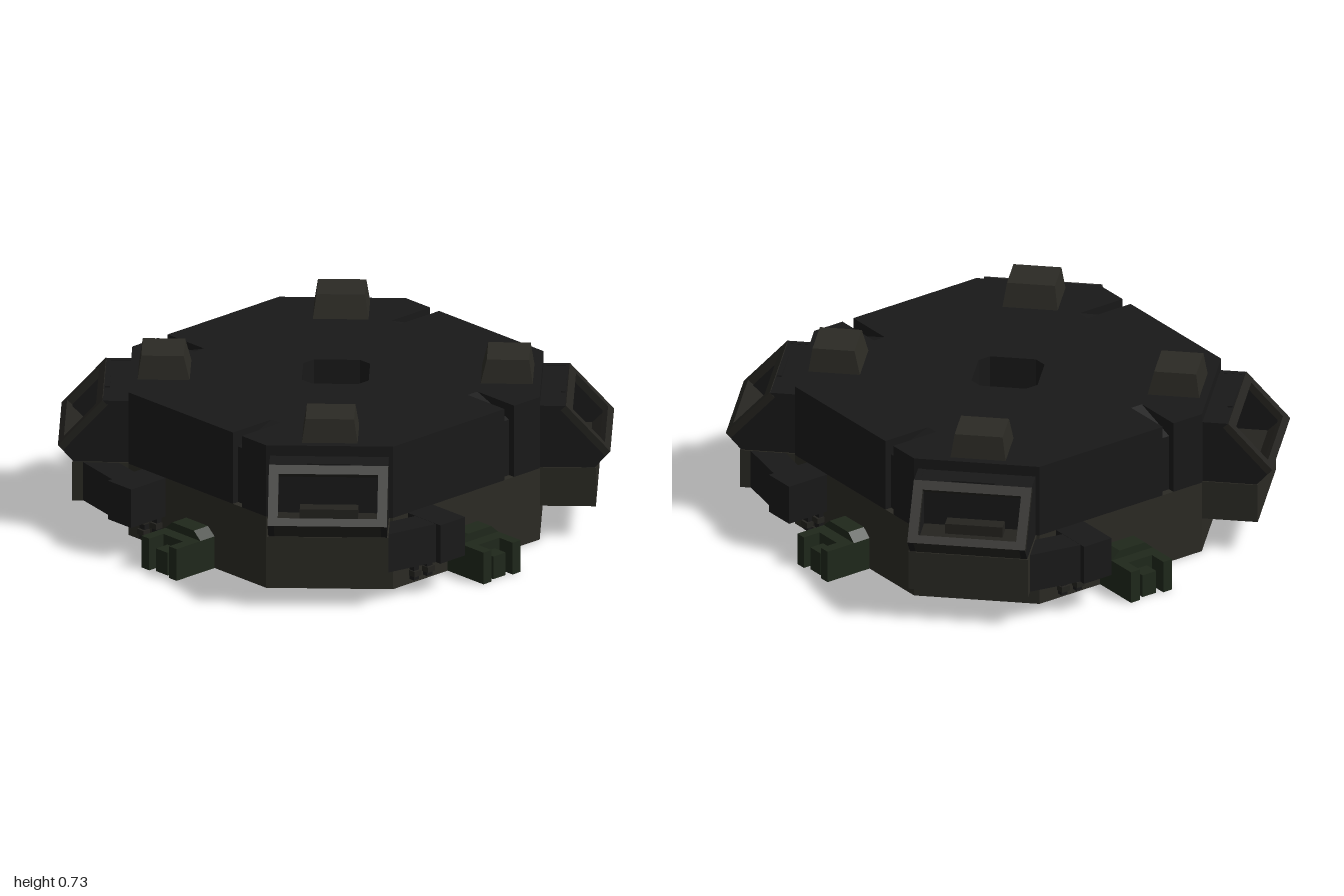
import * as THREE from 'three';

const paint = (c) => new THREE.MeshStandardMaterial({ color: c });
const hull = paint(0x191919), wall = paint(0x2b2a24), trim = paint(0x24231f), green = paint(0x1f281b);

const shapeOf = (pts, holes = []) => {
  const s = new THREE.Shape(pts.map((p) => new THREE.Vector2(p[0], p[1])));
  holes.forEach((h) => s.holes.push(new THREE.Path(h.map((p) => new THREE.Vector2(p[0], p[1])))));
  return s;
};
const extrude = (pts, depth, holes) =>
  new THREE.ExtrudeGeometry(shapeOf(pts, holes), { depth, bevelEnabled: false });

function add(parent, name, geo, mat) {
  const m = new THREE.Mesh(geo, mat);
  m.name = name;
  parent.add(m);
  return m;
}
// plan outline [x, z] raised from y0 to y1
function prism(pts, y0, y1, holes = []) {
  const flip = (l) => l.map(([x, z]) => [x, -z]);
  return extrude(flip(pts), y1 - y0, holes.map(flip)).rotateX(-Math.PI / 2).translate(0, y0, 0);
}
// side profile [z, y] spanning x0 to x1
const profile = (pts, x0, x1) => extrude(pts, x1 - x0).rotateY(-Math.PI / 2).translate(x1, 0, 0);
const box = (x0, x1, y0, y1, z0, z1) =>
  new THREE.BoxGeometry(x1 - x0, y1 - y0, z1 - z0).translate((x0 + x1) / 2, (y0 + y1) / 2, (z0 + z1) / 2);

// repeat a run of plan points around four sides
function fourfold(pts) {
  const out = [];
  let run = pts;
  for (let i = 0; i < 4; i++) {
    out.push(...run);
    run = run.map(([x, z]) => [z, -x]);
  }
  return out;
}
const W = 0.785, C = 0.415;
const outline = (notch) => fourfold(notch
  ? [[-C, W], [0.215, W], [0.215, W - notch], [0.27, W - notch], [0.27, W], [C, W]]
  : [[-C, W], [C, W]]);

// central shaft and underside openings
const shaft = fourfold([[-0.03, 0.165], [0.03, 0.165]]);
const plus = fourfold([[-0.03, 0.03], [-0.03, 0.165], [0.03, 0.165]]);
function port(r, a) {
  const pts = [];
  for (let i = 0; i < 8; i++) {
    const t = (i + 0.5) * Math.PI / 4;
    pts.push([Math.sin(a) * r + 0.1 * Math.cos(t), Math.cos(a) * r + 0.1 * Math.sin(t)]);
  }
  return pts;
}

function buildBody(g) {
  const ports = [];
  for (let i = 0; i < 8; i++) ports.push(port(i % 2 ? 0.58 : 0.52, i * Math.PI / 4));
  add(g, 'bottomPlate', prism(outline(), 0, 0.08, [shaft, ...ports]), wall);
  add(g, 'lowerHull', prism(outline(), 0.08, 0.315, [plus]), wall);
  add(g, 'upperHull', prism(outline(0.03), 0.315, 0.56, [shaft]), hull);
  add(g, 'roof', prism(outline(0.22), 0.56, 0.63, [shaft]), hull);
}

// docking clamp in the middle of a side
function buildClamp(g) {
  const arch = [[-0.105, 0], [0.105, 0], [0.105, 0.14], [0.065, 0.175], [-0.065, 0.175], [-0.105, 0.14]];
  add(g, 'clampBase', extrude(arch, 0.085).translate(0, 0, 0.78), green);
  add(g, 'clampBlock', box(-0.105, 0.105, 0, 0.14, 0.865, 0.92), green);
  for (const s of [-1, 1])
    add(g, 'clampProng', box(-0.0225, 0.0225, 0, 0.14, 0.92, 1).translate(s * 0.0825, 0, 0), green);
  add(g, 'clampTongue', box(-0.035, 0.035, 0, 0.1, 0.92, 0.985), green);
}

function buildSide() {
  const g = new THREE.Group();
  g.name = 'side';
  buildClamp(g);
  // connector box with its arm to the corner pod
  add(g, 'connectorBox', box(-0.33, -0.19, 0.145, 0.315, 0.78, 0.98), hull);
  add(g, 'connectorArm', prism([[-0.33, 0.83], [-0.33, 0.955], [-0.62, 0.895], [-0.55, 0.785]], 0.146, 0.314), hull);
  for (const x of [-0.305, -0.23]) {
    add(g, 'supportPost', box(x - 0.015, x + 0.015, 0.02, 0.145, 0.78, 0.81), hull);
    for (const y of [0.05, 0.1])
      add(g, 'postCollar', box(x - 0.02, x + 0.02, y - 0.012, y + 0.012, 0.78, 0.82), trim);
  }
  // sloped floor of the roof groove
  add(g, 'grooveRamp', profile([[0.565, 0.56], [0.755, 0.56], [0.565, 0.63]], 0.215, 0.27), hull);
  // bar inside the central shaft
  add(g, 'shaftBar', box(-0.03, 0.03, 0.4, 0.46, 0.035, 0.13), wall);
  return g;
}

// corner pod with a sloped open window, facing +z
function buildPod() {
  const g = new THREE.Group();
  g.name = 'cornerPod';
  add(g, 'podBase', box(-0.25, 0.25, 0.145, 0.315, 0.84, 1.08), wall);
  const cheek = [[0.84, 0.315], [1.075, 0.315], [1.138, 0.385], [0.955, 0.585], [0.84, 0.585]];
  for (const s of [-1, 1])
    add(g, 'podCheek', profile(cheek, -0.0125, 0.0125).translate(s * 0.2325, 0, 0), hull);
  add(g, 'podRoof', box(-0.22, 0.22, 0.56, 0.584, 0.84, 0.955), hull);
  add(g, 'podFloor', profile([[0.84, 0.315], [1.075, 0.315], [1.137, 0.385], [1.1, 0.385], [1.05, 0.335], [0.84, 0.335]], -0.22, 0.22), trim);
  // window frame lying on the slope
  const h = 0.271, a = Math.asin(0.183 / h), t = 0.03;
  const frame = add(g, 'windowFrame', extrude(
    [[-0.246, 0], [0.246, 0], [0.246, h], [-0.246, h]], t,
    [[[-0.205, 0.035], [-0.205, h - 0.04], [0.205, h - 0.04], [0.205, 0.035]]]), trim);
  frame.rotation.x = -a;
  frame.position.set(0, 0.385 - (t - 0.002) * Math.sin(a), 1.138 - (t - 0.002) * Math.cos(a));
  add(g, 'roofSlot', box(-0.09, 0.09, 0.58, 0.59, 0.93, 0.95), hull);
  add(g, 'console', box(-0.12, 0.12, 0.335, 0.38, 0.87, 0.93), trim);

  // tapered block on the roof, inboard of the pod
  const block = new THREE.BoxGeometry(0.23, 0.1, 0.215).translate(0, 0.68, 0.7075);
  const p = block.attributes.position;
  for (let i = 0; i < p.count; i++) {
    if (p.getY(i) < 0.7) continue;
    p.setX(i, Math.sign(p.getX(i)) * 0.1);
    p.setZ(i, p.getZ(i) < 0.7 ? 0.625 : 0.8);
  }
  block.computeVertexNormals();
  add(g, 'roofBlock', block, wall);
  return g;
}

export function createModel() {
  const model = new THREE.Group();
  model.name = 'station';
  buildBody(model);
  for (let i = 0; i < 4; i++) {
    const side = buildSide(), pod = buildPod();
    side.rotation.y = i * Math.PI / 2;
    pod.rotation.y = (i + 0.5) * Math.PI / 2;
    model.add(side, pod);
  }
  return model;
}
